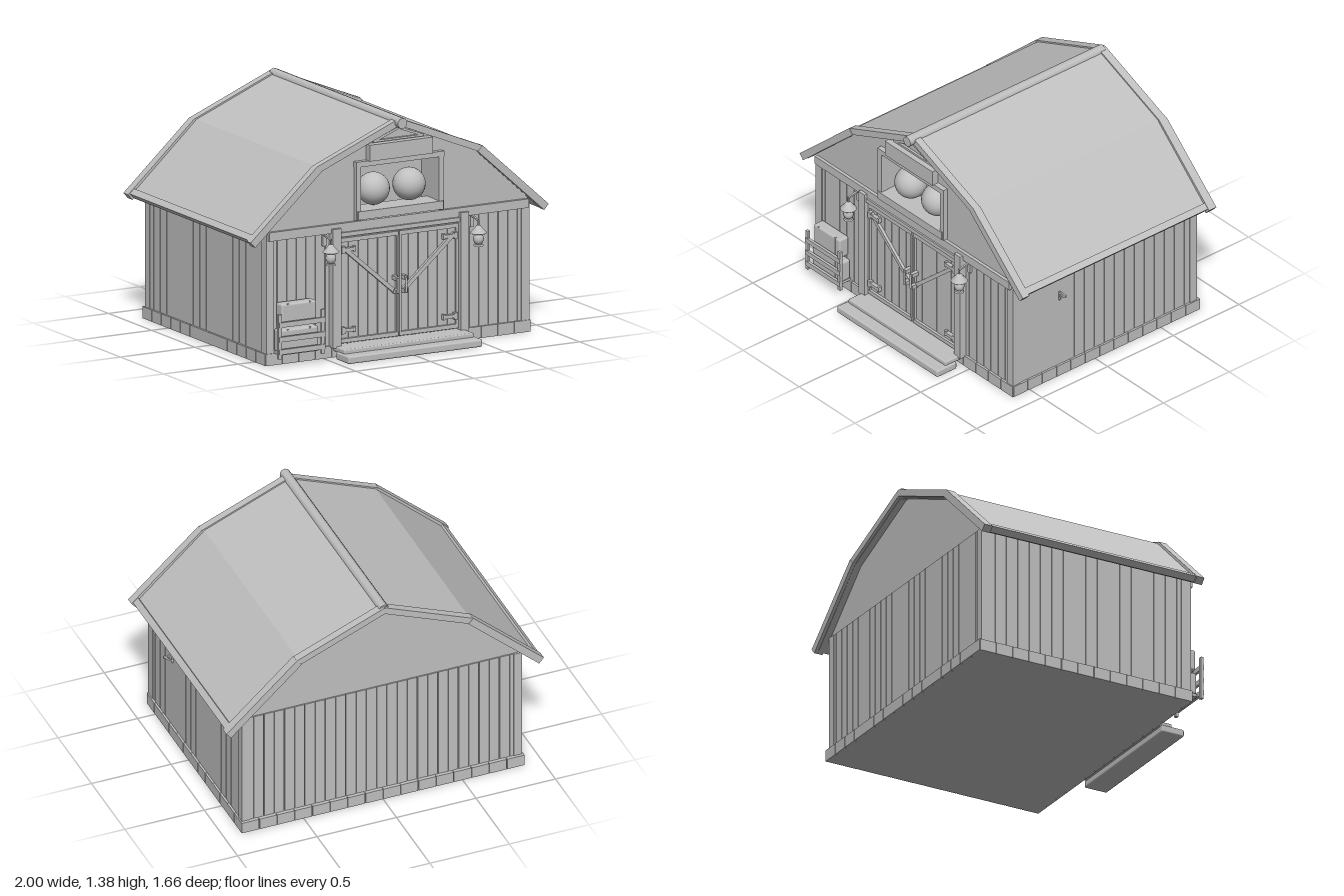
import * as THREE from 'three';
import { RoundedBoxGeometry } from 'three/addons/geometries/RoundedBoxGeometry.js';

export function createModel() {
  const barn = new THREE.Group();
  barn.name = 'barn';
  const grey = new THREE.MeshStandardMaterial({ color: 0xc0c0c0 });
  grey.name = 'plain grey';

  const add = (name, geo, x = 0, y = 0, z = 0) => {
    const m = new THREE.Mesh(geo, grey);
    m.name = name;
    m.position.set(x, y, z);
    barn.add(m);
    return m;
  };
  // Box given by its limits on each axis
  const box = (name, x0, x1, y0, y1, z0, z1) =>
    add(name, new THREE.BoxGeometry(x1 - x0, y1 - y0, z1 - z0), (x0 + x1) / 2, (y0 + y1) / 2, (z0 + z1) / 2);
  // Beam between two points in the xy plane
  const beam = (name, a, b, thick, z0, z1, extra = 0) => {
    const dx = b[0] - a[0], dy = b[1] - a[1];
    const m = add(name, new THREE.BoxGeometry(Math.hypot(dx, dy) + extra, thick, z1 - z0),
      (a[0] + b[0]) / 2, (a[1] + b[1]) / 2, (z0 + z1) / 2);
    m.rotation.z = Math.atan2(dy, dx);
    return m;
  };
  const outline = pts => new THREE.Shape(pts.map(p => new THREE.Vector2(...p)));
  const extrude = (name, shape, z0, z1) =>
    add(name, new THREE.ExtrudeGeometry(shape, { depth: z1 - z0, bevelEnabled: false }), 0, 0, z0);

  // Body core and front gable with a loft opening
  const gable = y0 => [[-0.87, y0], [0.87, y0], [0.87, 0.81], [0.53, 1.115], [0, 1.34], [-0.53, 1.115], [-0.87, 0.81]];
  extrude('body', outline(gable(0.02)), -0.77, 0.44);
  box('frontWallCore', -0.87, 0.87, 0.02, 0.78, 0.44, 0.605);
  const front = outline(gable(0.77));
  front.holes.push(new THREE.Path([[-0.265, 0.83], [-0.265, 1.12], [0.265, 1.12], [0.265, 0.83]].map(p => new THREE.Vector2(...p))));
  extrude('frontGable', front, 0.44, 0.62);

  // Stone foundation blocks
  box('foundation', -0.88, 0.88, 0, 0.068, -0.785, 0.615);
  const runX = 16, runZ = 13;
  for (let i = 0; i < runX; i++) {
    const w = 1.78 / runX, x = -0.89 + i * w;
    box('foundationBlock', x + 0.002, x + w - 0.002, 0, 0.07, 0.6, 0.628);
    box('foundationBlock', x + 0.002, x + w - 0.002, 0, 0.07, -0.8, -0.77);
  }
  for (let i = 0; i < runZ; i++) {
    const w = 1.42 / runZ, z = -0.797 + i * w;
    for (const s of [-1, 1])
      box('foundationBlock', s * 0.875 - 0.015, s * 0.875 + 0.015, 0, 0.07, z + 0.002, z + w - 0.002);
  }

  // Wall planks
  const planksX = 27;
  for (let i = 0; i < planksX; i++) {
    const w = 1.74 / planksX, x = -0.87 + i * w;
    box('backPlank', x + 0.002, x + w - 0.002, 0.06, 0.79, -0.778, -0.76);
    if (Math.abs(x + w / 2) > 0.42) box('frontPlank', x + 0.002, x + w - 0.002, 0.06, 0.76, 0.59, 0.614);
  }
  for (let i = 0; i < 18; i++) {
    const w = 1.37 / 18, z = -0.765 + i * w;
    for (const s of [-1, 1])
      box('sidePlank', s * 0.868 - 0.009, s * 0.868 + 0.009, 0.06, 0.8, z + 0.0015, z + w - 0.0015);
  }
  for (const s of [-1, 1]) {
    box('cornerPost', s * 0.856 - 0.026, s * 0.856 + 0.026, 0.06, 0.78, 0.56, 0.622);
    box('cornerPost', s * 0.856 - 0.026, s * 0.856 + 0.026, 0.06, 0.79, -0.782, -0.73);
  }
  box('frontBeam', -0.87, 0.87, 0.742, 0.795, 0.6, 0.64);

  // Two-pitch roof shell
  const upper = [[-0.97, 0.755], [-0.54, 1.147], [0, 1.367], [0.54, 1.147], [0.97, 0.755]];
  const lower = [[0.95, 0.73], [0.53, 1.112], [0, 1.328], [-0.53, 1.112], [-0.95, 0.73]];
  extrude('roof', outline([...upper, ...lower].reverse()), -0.81, 0.625);

  // Bargeboards, eave boards and ridge cap
  for (const s of [-1, 1]) {
    for (const [z0, z1] of [[0.595, 0.645], [-0.83, -0.775]]) {
      beam('lowerBargeboard', [s * 0.984, 0.735], [s * 0.54, 1.135], 0.045, z0, z1);
      beam('upperBargeboard', [s * 0.545, 1.133], [0, 1.355], 0.04, z0 + 0.002, z1 - 0.002, 0.01);
    }
    beam('eaveBoard', [s * 0.975, 0.742], [s * 0.945, 0.77], 0.04, -0.81, 0.625);
  }
  const ridge = add('ridgeCap', new THREE.CylinderGeometry(0.032, 0.032, 1.49, 10), 0, 1.353, -0.067);
  ridge.rotation.x = Math.PI / 2;

  // Loft opening: frame, sill and round bales
  for (const s of [-1, 1]) {
    box('loftFrameSide', s * 0.278 - 0.016, s * 0.278 + 0.016, 0.8, 1.15, 0.6, 0.65);
    const ball = add('loftBall', new THREE.SphereGeometry(0.097, 24, 16), s * 0.12, 0.955, 0.545);
    ball.rotation.y = s;
  }
  box('loftFrameTop', -0.295, 0.295, 1.118, 1.15, 0.6, 0.652);
  box('loftSill', -0.285, 0.285, 0.805, 0.855, 0.5, 0.658);

  // Blank board and small triangular trim at the peak
  box('peakBoard', -0.212, 0.212, 1.148, 1.245, 0.61, 0.665);
  box('peakTrimBase', -0.17, 0.17, 1.25, 1.262, 0.61, 0.635);
  for (const s of [-1, 1]) beam('peakTrim', [s * 0.165, 1.256], [0, 1.32], 0.014, 0.61, 0.635);

  // Double doors
  box('doorHeader', -0.41, 0.41, 0.715, 0.74, 0.6, 0.648);
  for (const s of [-1, 1]) {
    box('doorPost', s * 0.428 - 0.027, s * 0.428 + 0.027, 0.06, 0.77, 0.6, 0.66);
    const span = (name, a, b, y0, y1, z0, z1) => box(name, Math.min(s * a, s * b), Math.max(s * a, s * b), y0, y1, z0, z1);
    for (let i = 0; i < 6; i++) {
      const w = 0.39 / 6, x = 0.006 + i * w;
      span('doorPlank', x + 0.002, x + w - 0.002, 0.075, 0.715, 0.6, 0.622);
    }
    span('doorRail', 0.006, 0.396, 0.68, 0.705, 0.61, 0.638);
    span('doorRail', 0.006, 0.396, 0.08, 0.105, 0.61, 0.638);
    span('doorStile', 0.005, 0.018, 0.08, 0.705, 0.61, 0.636);
    span('doorStile', 0.384, 0.398, 0.08, 0.705, 0.61, 0.636);
    beam('doorBrace', [s * 0.37, 0.645], [s * 0.03, 0.35], 0.024, 0.612, 0.64);
    for (const y of [0.635, 0.155]) {
      span('hingeStrap', 0.3, 0.385, y - 0.01, y + 0.01, 0.62, 0.645);
      span('hingePlate', 0.367, 0.39, y - 0.02, y + 0.02, 0.62, 0.648);
      span('hingeTip', 0.293, 0.306, y - 0.016, y + 0.016, 0.62, 0.646);
    }
    for (const y of [0.35, 0.43]) span('handleMount', 0.017, 0.04, y - 0.012, y + 0.012, 0.62, 0.67);
    add('handleGrip', new THREE.CylinderGeometry(0.007, 0.007, 0.09, 8), s * 0.028, 0.39, 0.675);
  }

  // Front steps
  add('lowerStep', new RoundedBoxGeometry(0.9, 0.045, 0.15, 2, 0.01), 0, 0.0225, 0.755);
  add('upperStep', new RoundedBoxGeometry(0.87, 0.032, 0.145, 2, 0.008), 0, 0.054, 0.683);

  // Wall lanterns
  const shade = [[0, 0.695], [0.014, 0.693], [0.02, 0.683], [0.05, 0.65], [0.046, 0.646], [0, 0.65]];
  const shadeGeo = new THREE.LatheGeometry(shade.reverse().map(p => new THREE.Vector2(...p)), 12);
  for (const s of [-1, 1]) {
    const x = s * 0.495;
    add('lanternShade', shadeGeo, x, 0, 0.702);
    add('lanternGlass', new THREE.SphereGeometry(0.031, 16, 12), x, 0.614, 0.702).scale.y = 1.15;
    add('lanternBase', new THREE.CylinderGeometry(0.026, 0.03, 0.01, 12), x, 0.577, 0.702);
    add('lanternHook', new THREE.CylinderGeometry(0.005, 0.005, 0.04, 6), x, 0.708, 0.702);
    box('lanternPlate', x - 0.011, x + 0.011, 0.67, 0.75, 0.61, 0.63);
    const arm = add('lanternArm', new THREE.BoxGeometry(0.012, 0.01, 0.085), x, 0.73, 0.663);
    arm.rotation.x = 0.2;
  }

  // Stacked bales behind a small rail fence
  for (const [y, h, w] of [[0.152, 0.135, 0.26], [0.308, 0.13, 0.235]]) {
    add('bale', new RoundedBoxGeometry(w, h, 0.072, 2, 0.014), -0.702, y, 0.657);
    for (const dx of [-0.075, 0.075])
      box('baleTwine', -0.702 + dx - 0.004, -0.702 + dx + 0.004, y - h / 2, y + h / 2, 0.63, 0.695);
  }
  box('balePallet', -0.83, -0.575, 0.07, 0.088, 0.62, 0.695);
  for (const x of [-0.846, -0.557]) box('fencePost', x - 0.011, x + 0.011, 0.055, 0.32, 0.705, 0.722);
  for (const y of [0.097, 0.172, 0.258]) box('fenceRail', -0.855, -0.547, y - 0.015, y + 0.015, 0.71, 0.727);

  // Small bracket on the left wall
  box('bracketArm', 0.87, 0.938, 0.565, 0.576, 0.258, 0.27);
  box('bracketPlate', 0.87, 0.884, 0.52, 0.578, 0.258, 0.27);
  beam('bracketBrace', [0.88, 0.53], [0.925, 0.566], 0.009, 0.259, 0.269);

  return barn;
}
